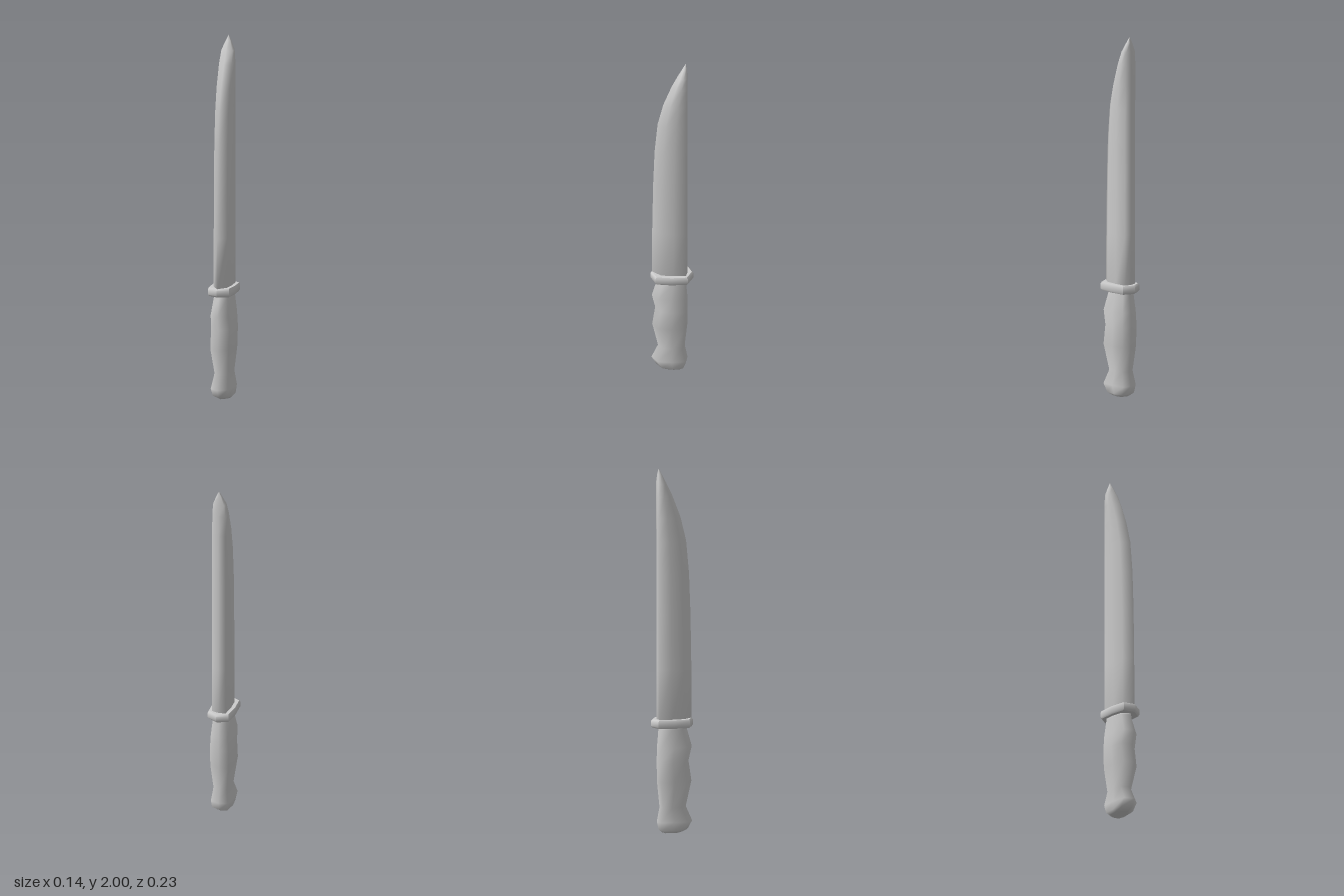
import * as THREE from 'three';
import { toCreasedNormals } from 'three/addons/utils/BufferGeometryUtils.js';

const material = new THREE.MeshStandardMaterial({ color: 0xcccccc });

// Eight-sided ring: pointed front and back, shoulders and a slightly wider middle.
// w: half width at the middle, ws: at the shoulders, f / b: front and back z,
// fs / bs: shoulder z at front and back.
function ring(y, w, ws, f, fs, bs, b) {
  const m = (fs + bs) / 2;
  return [[0, f], [ws, fs], [w, m], [ws, bs], [0, b], [-ws, bs], [-w, m], [-ws, fs]]
    .map(([x, z]) => [x, y, z]);
}

// Skin a stack of rings (bottom to top) and close both ends.
function loft(name, rings, crease) {
  const n = rings[0].length;
  const positions = rings.flat(2);
  const index = [];
  for (let i = 0; i < rings.length - 1; i++) {
    for (let j = 0; j < n; j++) {
      const k = (j + 1) % n;
      const a = i * n + j, b = i * n + k;
      index.push(a, b, b + n, a, b + n, a + n);
    }
  }
  const cap = (i, up) => {
    const center = positions.length / 3;
    const r = rings[i];
    positions.push(...[0, 1, 2].map((c) => r.reduce((s, p) => s + p[c], 0) / n));
    for (let j = 0; j < n; j++) {
      const a = i * n + j, b = i * n + (j + 1) % n;
      index.push(center, up ? a : b, up ? b : a);
    }
  };
  cap(0, false);
  cap(rings.length - 1, true);
  let geometry = new THREE.BufferGeometry();
  geometry.setAttribute('position', new THREE.Float32BufferAttribute(positions, 3));
  geometry.setIndex(index);
  geometry.computeVertexNormals();
  if (crease) geometry = toCreasedNormals(geometry, crease);
  const mesh = new THREE.Mesh(geometry, material);
  mesh.name = name;
  return mesh;
}

export function createModel() {
  const model = new THREE.Group();
  model.name = 'knife';

  // Handle with finger grooves and a flared pommel: [y, half width, front z, back z]
  const handle = [
    [0.0, 0.038, 0.055, -0.055],
    [0.015, 0.052, 0.085, -0.074],
    [0.06, 0.056, 0.11, -0.085],
    [0.14, 0.045, 0.075, -0.07],
    [0.28, 0.06, 0.106, -0.084],
    [0.39, 0.062, 0.09, -0.086],
    [0.47, 0.057, 0.108, -0.084],
    [0.57, 0.046, 0.08, -0.076],
    [0.59, 0.046, 0.08, -0.076],
  ].map(([y, w, f, b]) => ring(y, w, w * 0.86, f, f - 0.032, b + 0.012, b));
  model.add(loft('handle', handle));

  // Guard plate with softened rims
  const guard = [[0.578, 0.93], [0.587, 1], [0.616, 1], [0.625, 0.93]]
    .map(([y, s]) => ring(y, 0.069 * s, 0.061 * s, 0.115 * s, 0.087 * s, -0.088 * s, -0.117 * s));
  model.add(loft('guard', guard, 0.7));

  // Blade: straight spine, edge sweeping back to the tip: [y, half width, edge z, spine z]
  const blade = [
    [0.61, 0.044, 0.108, -0.086],
    [0.9, 0.044, 0.106, -0.086],
    [1.2, 0.044, 0.101, -0.086],
    [1.42, 0.044, 0.093, -0.086],
    [1.6, 0.043, 0.077, -0.086],
    [1.73, 0.043, 0.046, -0.086],
    [1.85, 0.041, 0.001, -0.086],
    [1.92, 0.036, -0.032, -0.085],
    [1.97, 0.015, -0.058, -0.081],
    [2.0, 0.0005, -0.074, -0.076],
  ].map(([y, w, f, b]) => {
    const depth = f - b;
    return ring(y, w, w * 0.88, f, f - depth * 0.26, b + depth * 0.04, b);
  });
  model.add(loft('blade', blade));

  return model;
}
